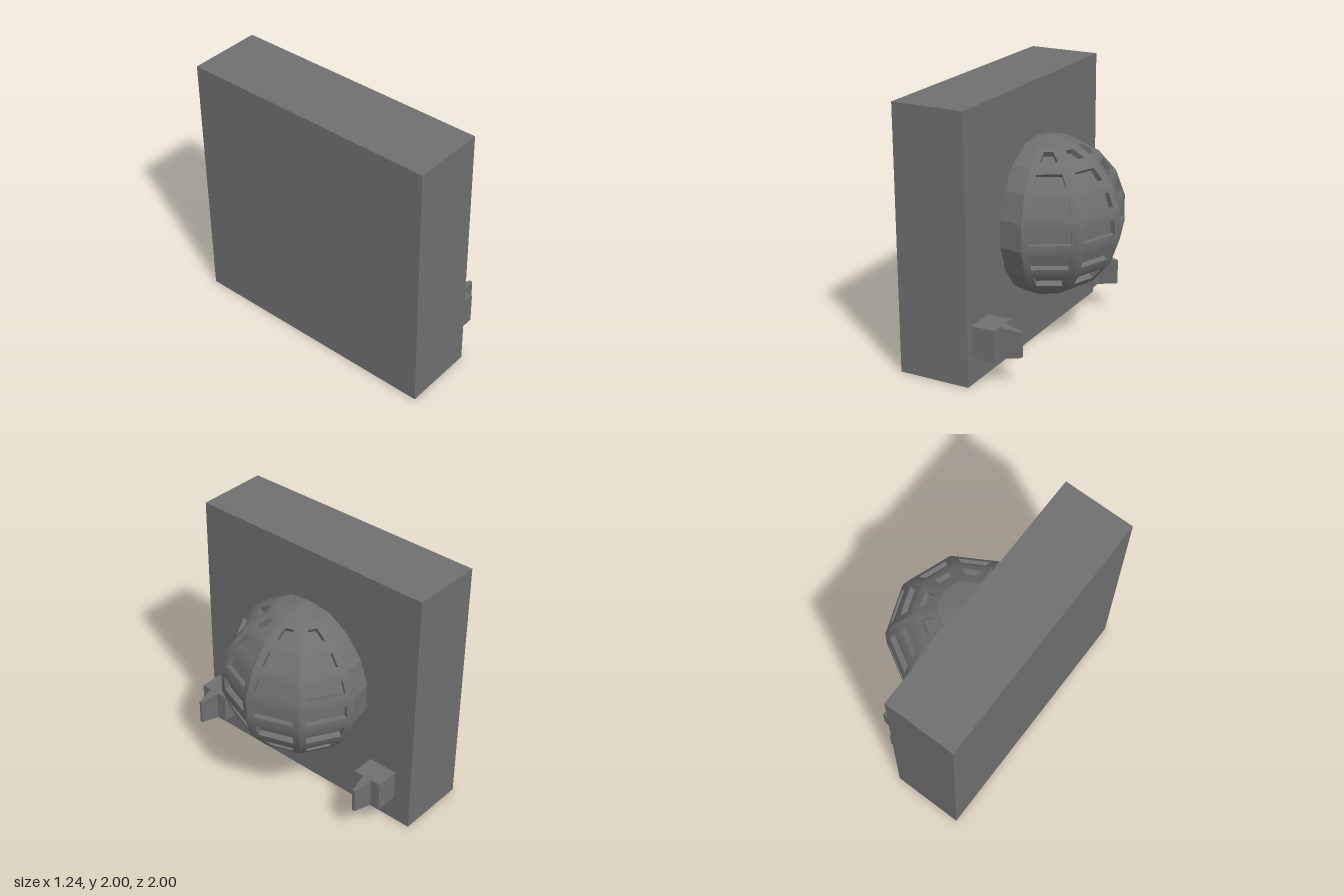
import * as THREE from 'three';
import { toCreasedNormals, mergeGeometries } from 'three/addons/utils/BufferGeometryUtils.js';

const material = new THREE.MeshStandardMaterial({ color: 0x6f6f6f });

function addPart(parent, name, geometry, x, y, z) {
  const mesh = new THREE.Mesh(geometry, material);
  mesh.name = name;
  mesh.position.set(x, y, z);
  parent.add(mesh);
}

function geometryFrom(positions) {
  const geometry = new THREE.BufferGeometry();
  geometry.setAttribute('position', new THREE.Float32BufferAttribute(positions, 3));
  geometry.computeVertexNormals();
  return geometry;
}

// Faceted dome: nine-by-nine sphere with sunken windows in the exposed panels
function domeGeometry(radius, inset, depth) {
  const plain = [], windowed = [];
  const step = THREE.MathUtils.degToRad(20);
  const point = (row, col) => {
    const t = row * step, p = col * step * 2;
    return new THREE.Vector3(Math.sin(t) * Math.cos(p), Math.cos(t), Math.sin(t) * Math.sin(p)).multiplyScalar(radius);
  };
  const tri = (list, ...pts) => pts.forEach((v) => list.push(v.x, v.y, v.z));
  const quad = (list, a, b, c, d) => { tri(list, a, b, c); tri(list, a, c, d); };

  // Move each corner inward so every edge shifts by the same distance
  const shrink = (corners) => corners.map((c, i) => {
    const e1 = corners[(i + 1) % 4].clone().sub(c).normalize();
    const e2 = corners[(i + 3) % 4].clone().sub(c).normalize();
    const scale = inset / e1.clone().cross(e2).length();
    return c.clone().addScaledVector(e1.add(e2), scale);
  });

  for (let col = -4; col < 5; col++) {
    for (let row = 0; row < 9; row++) {
      const corners = [point(row + 1, col + 1), point(row + 1, col), point(row, col), point(row, col + 1)];
      const [a, b, c, d] = corners;
      if (row === 0) { tri(plain, a, b, c); continue; }
      if (row === 8) { tri(plain, a, c, d); continue; }
      const hasWindow = col >= -2 && col <= 1 && row <= 6;
      if (!hasWindow) { quad(plain, a, b, c, d); continue; }

      const rim = shrink(corners);
      const normal = b.clone().sub(a).cross(d.clone().sub(a)).normalize();
      const floor = rim.map((v) => v.clone().addScaledVector(normal, -depth));
      for (let i = 0; i < 4; i++) {
        const j = (i + 1) % 4;
        quad(windowed, corners[i], corners[j], rim[j], rim[i]); // frame
        quad(windowed, rim[i], rim[j], floor[j], floor[i]); // pit wall
      }
      quad(windowed, ...floor);
    }
  }
  // Plain panels stay flat, window frames blend from row to row
  return mergeGeometries([geometryFrom(plain), toCreasedNormals(geometryFrom(windowed), 0.5)]);
}

// Blade that narrows toward its +x tip
function bladeGeometry() {
  const geometry = new THREE.BoxGeometry(0.15, 0.24, 0.075).toNonIndexed();
  const pos = geometry.attributes.position;
  for (let i = 0; i < pos.count; i++) {
    if (pos.getX(i) > 0) {
      pos.setY(i, pos.getY(i) * 0.79);
      pos.setZ(i, pos.getZ(i) * 0.33);
    }
  }
  geometry.computeVertexNormals();
  return geometry;
}

export function createModel() {
  const model = new THREE.Group();
  model.name = 'wallPanelWithDome';

  addPart(model, 'wallBlock', new THREE.BoxGeometry(0.56, 2, 2), -0.34, 1, 0);
  addPart(model, 'windowedDome', domeGeometry(0.6, 0.05, 0.045), 0.026, 1, -0.02);

  // Pair of brackets at the foot of the wall
  for (const [name, z] of [['leftBracket', 0.82], ['rightBracket', -0.74]]) {
    const bracket = new THREE.Group();
    bracket.name = name;
    bracket.position.set(0, 0.328, z);
    addPart(bracket, 'bracketBlock', new THREE.BoxGeometry(0.185, 0.24, 0.235), 0.03, 0, 0);
    addPart(bracket, 'bracketBlade', bladeGeometry(), 0.197, 0, 0);
    model.add(bracket);
  }
  return model;
}
